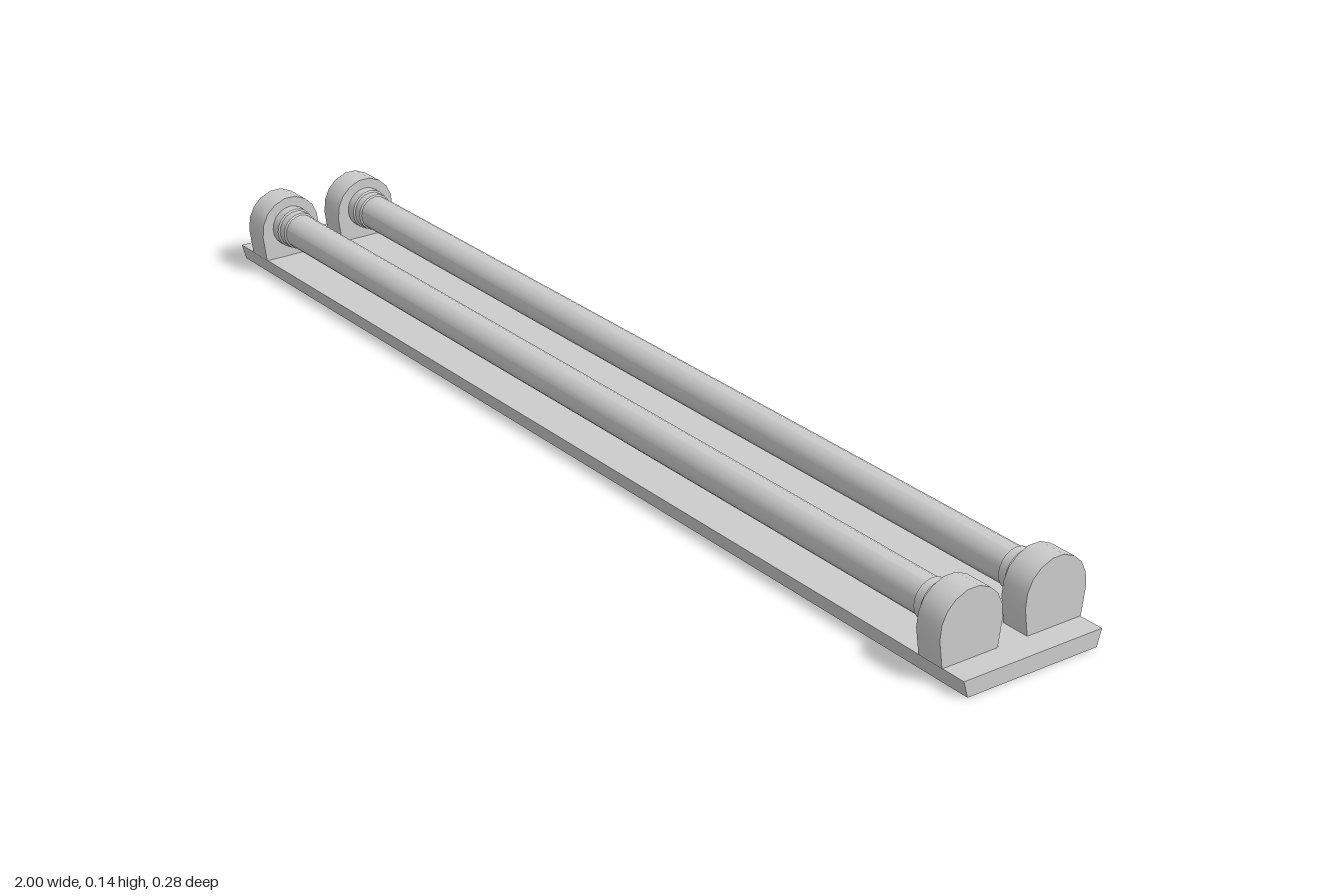
import * as THREE from 'three';
import { toCreasedNormals } from 'three/addons/utils/BufferGeometryUtils.js';

const material = new THREE.MeshStandardMaterial({ color: 0xcccccc, side: THREE.DoubleSide });
const TOP = 0.028, LANE = 0.08, AXIS = 0.086;

function add(parent, name, geometry) {
  const mesh = new THREE.Mesh(geometry, material);
  mesh.name = name;
  parent.add(mesh);
  return mesh;
}

// Sheet joining two matching rows of points
function strip(a, b, closed) {
  const pos = [];
  const n = closed ? a.length : a.length - 1;
  for (let i = 0; i < n; i++) {
    const j = (i + 1) % a.length;
    pos.push(...a[i], ...a[j], ...b[j], ...a[i], ...b[j], ...b[i]);
  }
  const g = new THREE.BufferGeometry();
  g.setAttribute('position', new THREE.Float32BufferAttribute(pos, 3));
  return toCreasedNormals(g, 0.6);
}

// Rounded lamp holder outline: [half width, height]
const half = [[0.052, TOP], [0.0585, 0.074], [0.056, 0.098], [0.047, 0.117], [0.032, 0.131], [0.011, 0.14]];
const outline = [...half, ...half.slice().reverse().map(([w, y]) => [-w, y])];

// Hollow holder, open underneath
function holder() {
  const g = new THREE.Group();
  g.name = 'lampHolder';
  const d = 0.025;
  const row = x => outline.map(([z, y]) => [x, y, z]);
  add(g, 'holderShell', strip(row(d), row(-d), false));
  const face = new THREE.Shape(outline.map(([z, y]) => new THREE.Vector2(z, y)));
  for (const s of [-1, 1]) {
    const cap = add(g, 'holderFace', new THREE.ShapeGeometry(face));
    cap.rotation.y = s * Math.PI / 2;
    cap.position.x = s * d;
  }
  return g;
}

// Tube with stepped end collars
function lamp() {
  const end = [[0.031, 0.868], [0.034, 0.87], [0.034, 0.885], [0.037, 0.887], [0.037, 0.907]];
  const pts = [...end.slice().reverse().map(([r, x]) => [r, -x]), ...end];
  const g = new THREE.LatheGeometry(pts.map(([r, x]) => new THREE.Vector2(r, x)), 20);
  return toCreasedNormals(g.rotateZ(Math.PI / 2), 0.6);
}

export function createModel() {
  const model = new THREE.Group();
  model.name = 'twinTubeLight';

  // Tray top, with an opening below each holder
  const rect = (path, x0, x1, z0, z1) => path.moveTo(x0, z0).lineTo(x1, z0).lineTo(x1, z1).lineTo(x0, z1).closePath();
  const plate = rect(new THREE.Shape(), -1, 1, -0.131, 0.131);
  for (const x of [-0.93, 0.93]) for (const z of [-LANE, LANE]) {
    plate.holes.push(rect(new THREE.Path(), x - 0.025, x + 0.025, z - 0.051, z + 0.051));
  }
  const top = add(model, 'trayTop', new THREE.ShapeGeometry(plate));
  top.rotation.x = -Math.PI / 2;
  top.position.y = TOP;

  // Tray sides, sloping inward to the open underside
  const loop = (y, z) => [[-1, y, z], [1, y, z], [1, y, -z], [-1, y, -z]];
  add(model, 'trayWalls', strip(loop(0, 0.123), loop(TOP, 0.131), true));

  // Two lamps, each between a pair of holders
  for (const z of [-LANE, LANE]) {
    add(model, 'lampTube', lamp()).position.set(0, AXIS, z);
    for (const x of [-0.93, 0.93]) {
      const h = holder();
      h.position.set(x, 0, z);
      model.add(h);
    }
  }
  return model;
}
